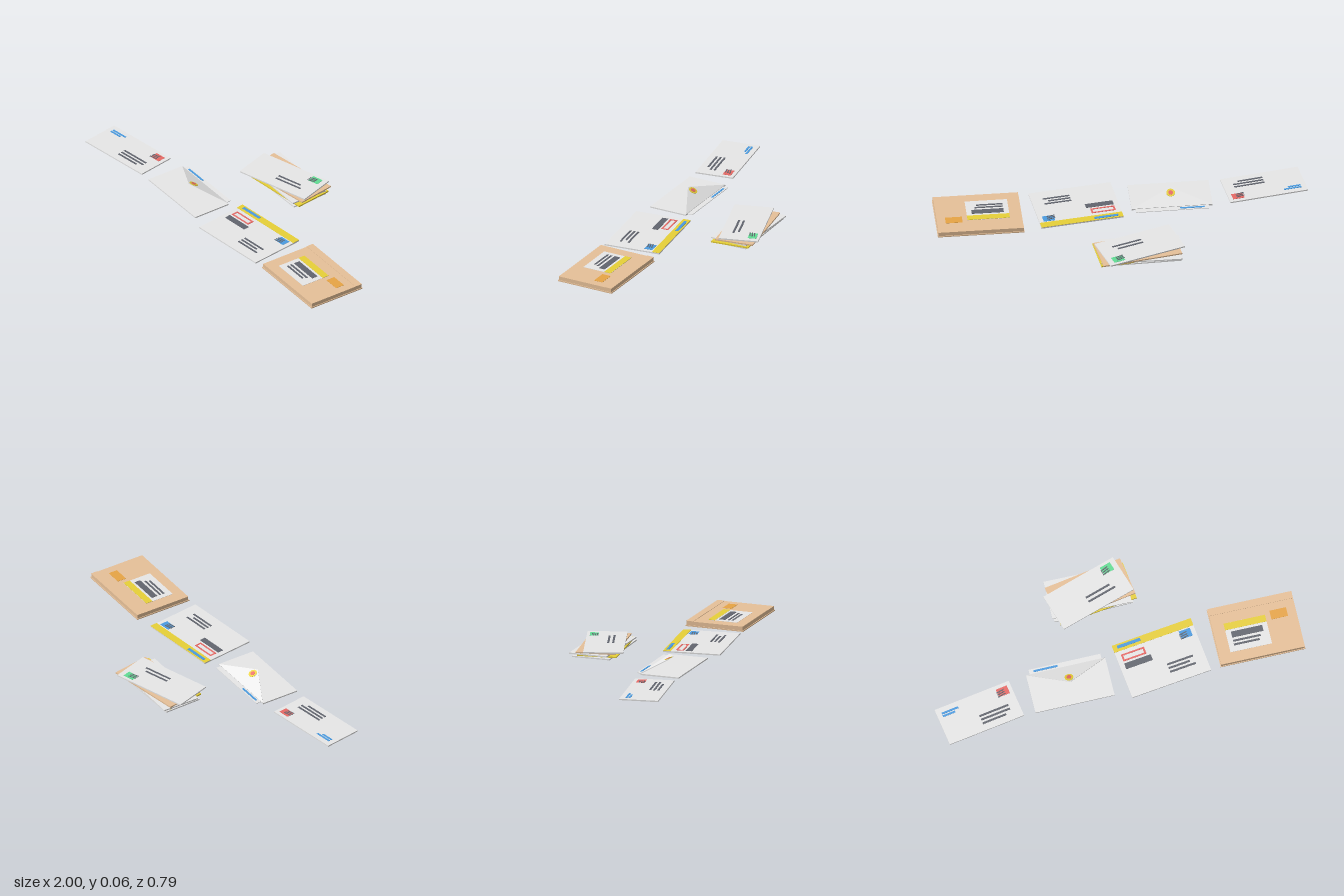
import * as THREE from 'three';

const mat = (name, color) => Object.assign(new THREE.MeshStandardMaterial({ color }), { name });
const M = {
  white: mat('white paper', 0xf0f0f0),
  kraft: mat('kraft paper', 0xe6c098),
  yellow: mat('yellow', 0xeed63a),
  blue: mat('blue', 0x4a9be0),
  ink: mat('dark ink', 0x62656e),
  red: mat('red', 0xea6a66),
  orange: mat('orange', 0xf2ac48),
  green: mat('green', 0x62dc94),
};
const T = 0.007; // envelope thickness

// Box resting on height y, centred on x, z
function slab(parent, name, m, x, z, w, d, y, h) {
  const mesh = new THREE.Mesh(new THREE.BoxGeometry(w, h, d), m);
  mesh.name = name;
  mesh.position.set(x, y + h / 2, z);
  parent.add(mesh);
  return mesh;
}

// Flat printed detail lying on a surface at height y
const print = (parent, name, m, x, z, w, d, y = T) => slab(parent, name, m, x, z, w, d, y, 0.0012);

// Left-aligned rows of writing
function lines(parent, name, m, x, z, widths, pitch = 0.022, y = T) {
  widths.forEach((w, i) => print(parent, name, m, x + w / 2, z + i * pitch, w, 0.011, y));
}

// Stamp with a cancelled postmark over its corner
function stamp(parent, m, x, z) {
  print(parent, 'stamp', m, x, z, 0.062, 0.046);
  for (let i = 0; i < 3; i++) {
    const bar = print(parent, 'postmark', M.ink, x - 0.014, z - 0.006 + i * 0.012, 0.044, 0.006, T + 0.0012);
    bar.rotation.y = 0.15;
  }
}

function place(root, name, x, z, degrees, y = 0) {
  const g = new THREE.Group();
  g.name = name;
  g.position.set(x, y, z);
  g.rotation.y = THREE.MathUtils.degToRad(degrees);
  root.add(g);
  return g;
}

function smallLetter(root) {
  const g = place(root, 'smallLetter', -0.78, 0.21, 5);
  slab(g, 'envelope', M.white, 0, 0, 0.425, 0.21, 0, T);
  lines(g, 'senderLine', M.blue, -0.185, -0.071, [0.095, 0.07], 0.016);
  stamp(g, M.red, 0.161, -0.062);
  lines(g, 'addressLine', M.ink, -0.007, 0.019, [0.165, 0.165, 0.135]);
}

function openEnvelope(root) {
  const g = place(root, 'openEnvelope', -0.275, 0.21, -4.3);
  slab(g, 'envelope', M.white, 0, 0, 0.43, 0.215, 0, T);
  // Sheet peeking out at the back
  slab(g, 'insertedSheet', M.white, 0, -0.115, 0.39, 0.042, 0.003, 0.003);
  print(g, 'sheetWriting', M.blue, -0.106, -0.122, 0.13, 0.011, 0.006);

  // Raised triangular flap with a round seal
  const flap = new THREE.Group();
  flap.name = 'flap';
  flap.position.set(0, T, -0.1075);
  flap.rotation.x = -0.43;
  g.add(flap);
  const tri = new THREE.Shape([[-0.213, 0], [0.213, 0], [0, 0.118]].map(p => new THREE.Vector2(...p)));
  const geo = new THREE.ExtrudeGeometry(tri, { depth: 0.002, bevelEnabled: false });
  geo.rotateX(Math.PI / 2).translate(0, 0.002, 0);
  const sheet = new THREE.Mesh(geo, M.white);
  sheet.name = 'flapPaper';
  flap.add(sheet);
  [['sealRim', M.yellow, 0.024, 0.003], ['sealCentre', M.red, 0.013, 0.0045]].forEach(([name, m, r, y]) => {
    const disc = new THREE.Mesh(new THREE.CylinderGeometry(r, r, 0.002, 10), m);
    disc.name = name;
    disc.position.set(0, y, 0.084);
    flap.add(disc);
  });
}

function largeLetter(root) {
  const g = place(root, 'largeLetter', 0.23, 0.21, 2.8);
  slab(g, 'envelope', M.white, 0, 0, 0.445, 0.31, 0, T);
  print(g, 'yellowBand', M.yellow, 0, -0.134, 0.445, 0.042);
  print(g, 'bandWriting', M.blue, -0.133, -0.137, 0.13, 0.017, T + 0.0012);
  // Red rubber-stamp frame
  for (const s of [-1, 1]) {
    print(g, 'frameLong', M.red, -0.13, -0.071 + s * 0.016, 0.13, 0.009);
    print(g, 'frameShort', M.red, -0.13 + s * 0.06, -0.071, 0.01, 0.024);
  }
  print(g, 'boldNotice', M.ink, -0.121, -0.022, 0.15, 0.034);
  stamp(g, M.blue, 0.168, -0.083);
  lines(g, 'addressLine', M.ink, 0.015, 0.046, [0.145, 0.12, 0.145]);
}

function parcel(root) {
  const g = place(root, 'parcel', 0.755, 0.21, -4.7);
  const top = 0.027;
  slab(g, 'parcelBase', M.kraft, 0, 0, 0.46, 0.326, 0, 0.006);
  slab(g, 'parcelBody', M.kraft, 0, 0, 0.452, 0.318, 0.006, top - 0.006);
  slab(g, 'parcelFlap', M.kraft, 0, -0.141, 0.455, 0.04, top, 0.002);
  print(g, 'label', M.white, -0.05, 0.02, 0.225, 0.165, top);
  const y = top + 0.0012;
  print(g, 'labelBand', M.yellow, -0.05, -0.043, 0.225, 0.038, y);
  print(g, 'labelBlock', M.ink, -0.05, 0.007, 0.17, 0.034, y);
  lines(g, 'labelLine', M.ink, -0.135, 0.043, [0.15, 0.14], 0.021, y);
  print(g, 'parcelSticker', M.orange, 0.135, -0.054, 0.09, 0.05, top);
}

function letterStack(root) {
  const stack = place(root, 'letterStack', 0, 0, 0);
  // Material, x, z, turn; from the bottom up
  const layers = [
    [M.white, -0.025, -0.25, -3],
    [M.yellow, -0.012, -0.243, 3],
    [M.white, -0.03, -0.257, -5],
    [M.kraft, -0.016, -0.257, 5],
    [M.white, -0.03, -0.243, 13.5],
  ];
  let g;
  layers.forEach(([m, x, z, turn], i) => {
    g = place(stack, 'stackedLetter', x, z, turn, i * 0.0082);
    slab(g, 'envelope', m, 0, 0, 0.43, 0.212, 0, T);
  });
  // Printing on the uppermost letter
  stamp(g, M.green, 0.155, -0.067);
  lines(g, 'addressLine', M.ink, -0.025, 0.016, [0.145, 0.165], 0.026);
}

export function createModel() {
  const root = new THREE.Group();
  root.name = 'mail';
  [smallLetter, openEnvelope, largeLetter, parcel, letterStack].forEach(build => build(root));
  return root;
}
